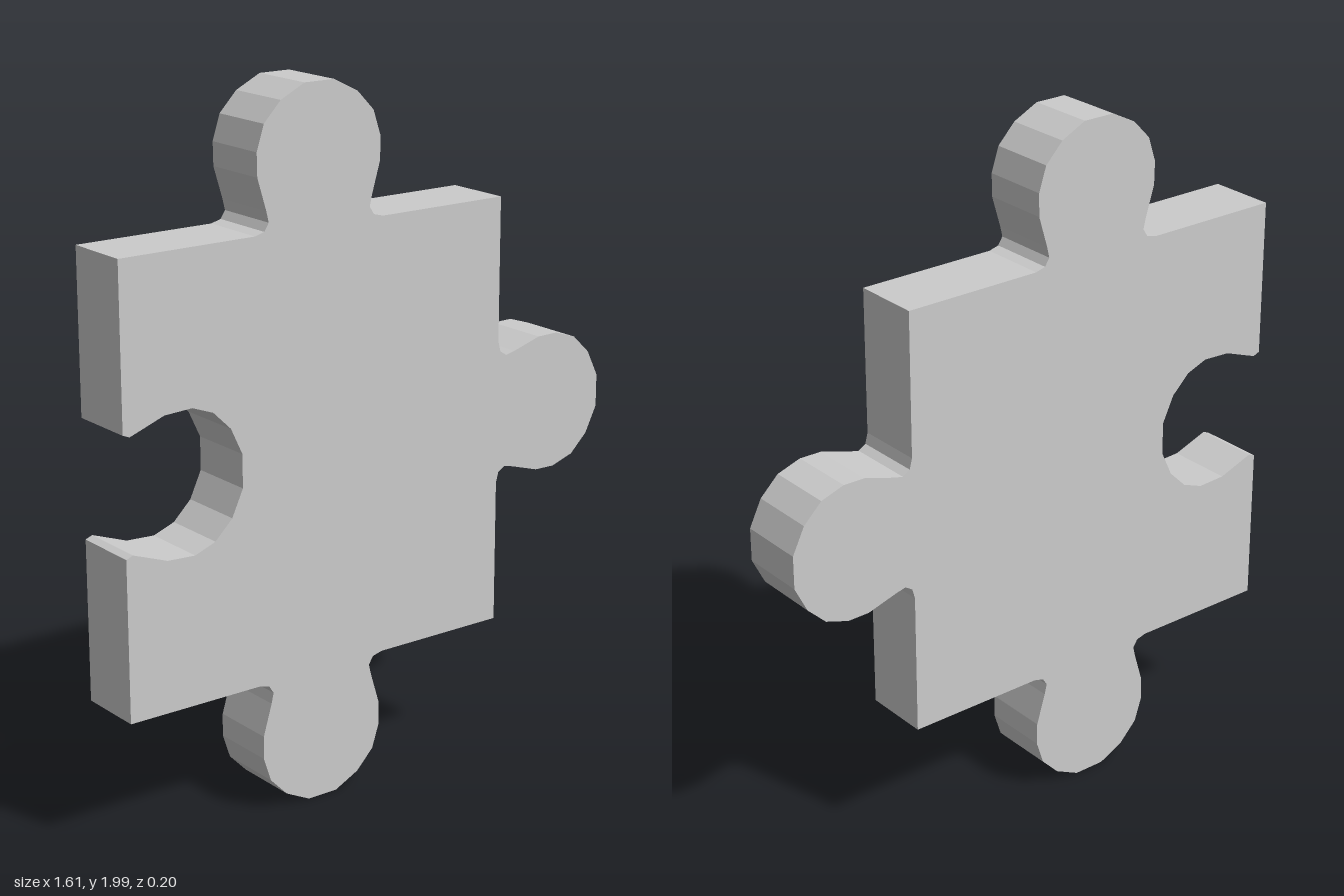
import * as THREE from 'three';

// Half outlines as [distance from the edge's middle, distance out from the edge]
const KNOB = [
  [0.207, 0], [0.177, 0.008], [0.163, 0.03], [0.17, 0.06], [0.197, 0.15],
  [0.198, 0.215], [0.175, 0.285], [0.122, 0.34], [0.047, 0.377],
];
const SOCKET = [
  [0.165, 0], [0.157, -0.02], [0.167, -0.048], [0.195, -0.125],
  [0.199, -0.21], [0.175, -0.274], [0.122, -0.328], [0.047, -0.363],
];

const HALF = 0.6175;          // half the square body
const CENTER = [-0.1875, 1.0025];
const DEPTH = 0.196;

export function createModel() {
  const group = new THREE.Group();

  // Walk the four edges anticlockwise: bottom, right, top, left
  const points = [];
  [KNOB, KNOB, KNOB, SOCKET].forEach((half, i) => {
    const [dx, dy] = [[1, 0], [0, 1], [-1, 0], [0, -1]][i];
    const add = (u, v) => points.push(new THREE.Vector2(
      CENTER[0] + dx * u + dy * (HALF + v),
      CENTER[1] + dy * u - dx * (HALF + v),
    ));
    add(-HALF, 0);
    half.forEach(([u, v]) => add(-u, v));
    [...half].reverse().forEach(([u, v]) => add(u, v));
  });

  // Flat puzzle piece with faceted walls
  const geometry = new THREE.ExtrudeGeometry(new THREE.Shape(points), {
    depth: DEPTH, bevelEnabled: false,
  });
  geometry.translate(0, 0, -DEPTH / 2);
  // Rest on the ground, centred
  geometry.computeBoundingBox();
  const { min, max } = geometry.boundingBox;
  geometry.translate(-(min.x + max.x) / 2, -min.y, 0);

  const piece = new THREE.Mesh(
    geometry,
    new THREE.MeshStandardMaterial({ color: 0xcccccc, flatShading: true }),
  );
  piece.name = 'puzzlePiece';
  group.add(piece);
  return group;
}
